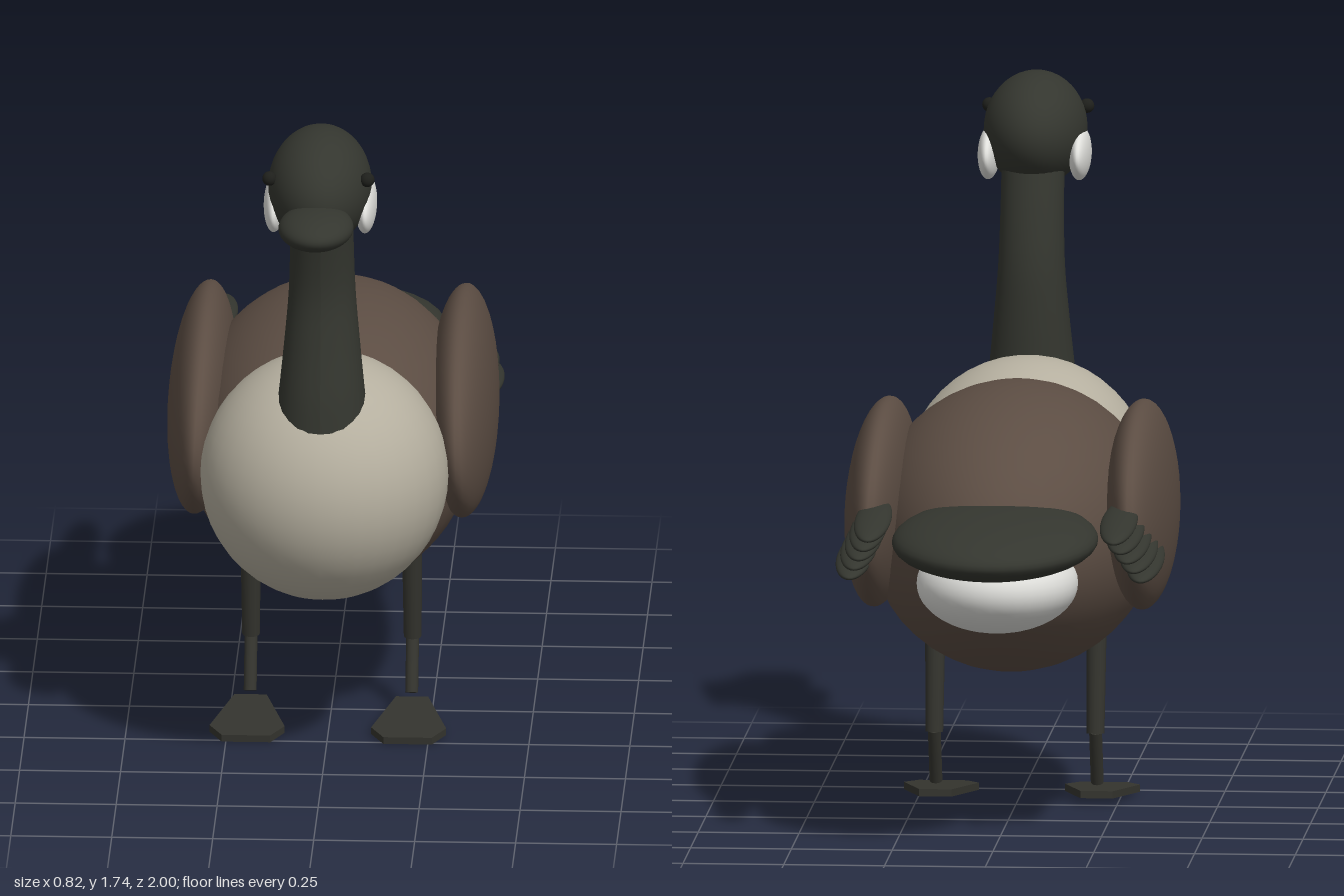
import * as THREE from 'three';

const mat = (name, color) => {
  const m = new THREE.MeshStandardMaterial({ color });
  m.name = name;
  return m;
};

export function createModel() {
  const goose = new THREE.Group();
  goose.name = 'goose';

  const black = mat('charcoal plumage', 0x34362f);
  const brown = mat('brown plumage', 0x5c4d43);
  const cream = mat('cream breast', 0xb5af9f);
  const white = mat('white patches', 0xe0e0dc);
  const legGrey = mat('dark leg', 0x34342e);
  const eyeBlack = mat('eye black', 0x1e1f1b);

  const add = (name, geometry, material, pos = [0, 0, 0]) => {
    const mesh = new THREE.Mesh(geometry, material);
    mesh.name = name;
    mesh.position.set(...pos);
    goose.add(mesh);
    return mesh;
  };

  const ball = new THREE.SphereGeometry(1, 36, 24);
  const ellipsoid = (name, material, pos, radii, rot = [0, 0, 0]) => {
    const mesh = add(name, ball, material, pos);
    mesh.scale.set(...radii);
    mesh.rotation.set(...rot);
    return mesh;
  };

  // Tapered rod between two points
  const rod = (name, a, b, ra, rb) => {
    const from = new THREE.Vector3(...a), to = new THREE.Vector3(...b);
    const dir = to.clone().sub(from);
    const mesh = add(name, new THREE.CylinderGeometry(rb, ra, dir.length(), 12), legGrey);
    mesh.position.copy(from).add(to).multiplyScalar(0.5);
    mesh.quaternion.setFromUnitVectors(new THREE.Vector3(0, 1, 0), dir.normalize());
  };

  // Body, breast and tail
  ellipsoid('body', brown, [0, 0.708, -0.05], [0.36, 0.354, 0.63]);
  ellipsoid('breast', cream, [0, 0.75, 0.395], [0.307, 0.311, 0.315]);
  ellipsoid('underTail', white, [0, 0.65, -0.605], [0.2, 0.122, 0.23]);
  ellipsoid('tail', black, [0, 0.768, -0.68], [0.255, 0.075, 0.32], [-0.08, 0, 0]);

  // Neck: a cylinder bent and tapered along a spline of (z, y, radius)
  const neckLine = new THREE.CatmullRomCurve3([
    [0.53, 0.93, 0.116], [0.53, 1.02, 0.106], [0.52, 1.14, 0.094],
    [0.515, 1.27, 0.083], [0.535, 1.4, 0.079], [0.57, 1.54, 0.078],
  ].map(p => new THREE.Vector3(...p)));
  const neckGeo = new THREE.CylinderGeometry(1, 1, 1, 24, 18, true);
  const v = neckGeo.attributes.position;
  for (let i = 0; i < v.count; i++) {
    const p = neckLine.getPoint(THREE.MathUtils.clamp(v.getY(i) + 0.5, 0, 1));
    v.setXYZ(i, v.getX(i) * p.z, p.y, p.x + v.getZ(i) * p.z);
  }
  neckGeo.computeVertexNormals();
  add('neck', neckGeo, black);

  // Head and bill
  ellipsoid('head', black, [0, 1.593, 0.645], [0.128, 0.143, 0.21]);
  ellipsoid('bill', black, [0, 1.557, 0.87], [0.093, 0.047, 0.13]);

  // Webbed foot outline: narrow heel, broad toes
  const web = new THREE.Shape([
    [-0.04, 0], [0.04, 0], [0.093, 0.2], [0.06, 0.262], [-0.06, 0.262], [-0.093, 0.2],
  ].map(p => new THREE.Vector2(...p)));
  const footGeo = new THREE.ExtrudeGeometry(web, { depth: 0.018, bevelEnabled: false });
  footGeo.rotateX(Math.PI / 2);

  for (const s of [1, -1]) {
    const side = s > 0 ? 'left' : 'right';

    // Face
    ellipsoid(side + 'Cheek', white, [s * 0.113, 1.535, 0.617], [0.027, 0.064, 0.128]);
    ellipsoid(side + 'Eye', eyeBlack, [s * 0.121, 1.637, 0.732], [0.018, 0.018, 0.018]);

    // Wing and its flight feathers
    ellipsoid(side + 'Wing', brown, [s * 0.324, 0.774, -0.113], [0.084, 0.252, 0.513], [0, 0, s * 0.04]);
    for (let i = 0; i < 5; i++) {
      ellipsoid(side + 'Feather' + (i + 1), black,
        [s * (0.305 + 0.014 * i), 0.81 - 0.029 * i, -0.65 + 0.035 * i],
        [0.045, 0.02, 0.2], [-0.11, 0, 0]);
    }

    // Leg and foot
    rod(side + 'Thigh', [s * 0.2, 0.43, 0], [s * 0.2, 0.185, -0.03], 0.025, 0.022);
    rod(side + 'Shank', [s * 0.2, 0.19, -0.03], [s * 0.2, 0.055, 0.025], 0.016, 0.016);
    const foot = add(side + 'Foot', footGeo, legGrey, [s * 0.2, 0.036, 0]);
    foot.rotation.x = 0.068;
  }

  return goose;
}
